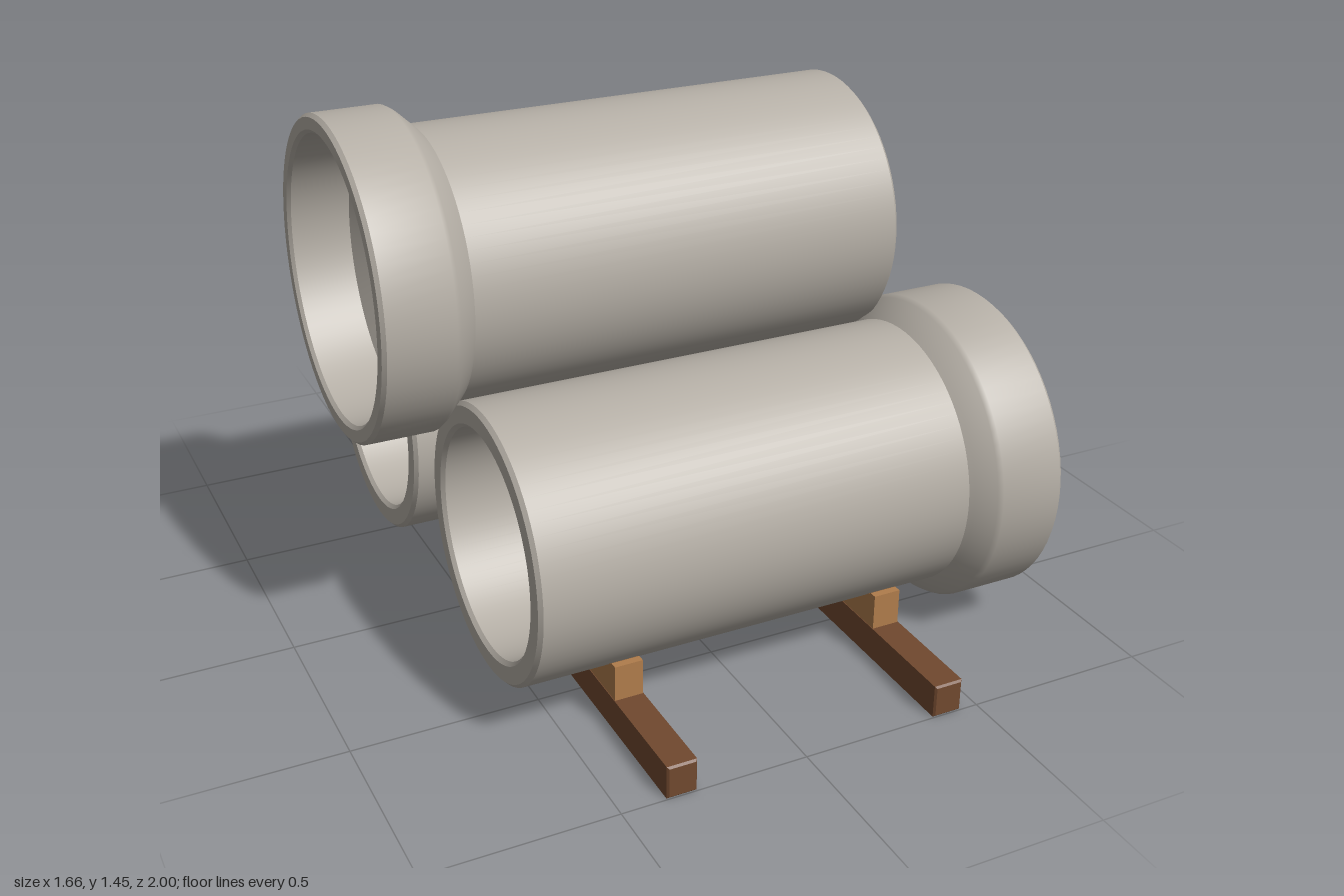
import * as THREE from 'three';
import { toCreasedNormals } from 'three/addons/utils/BufferGeometryUtils.js';

const mat = (name, color) => {
  const m = new THREE.MeshStandardMaterial({ color });
  m.name = name;
  return m;
};

// Closed wall section of a bell-ended pipe: [radius, distance along axis]
function pipeGeometry() {
  const section = [
    [0.295, -0.6], [0.305, -0.61], [0.35, -0.61], [0.36, -0.6],  // plain end
    [0.36, 0.58], [0.37, 0.59], [0.41, 0.632], [0.418, 0.645],   // flare
    [0.418, 0.82], [0.409, 0.83], [0.378, 0.83], [0.369, 0.821], // bell mouth
    [0.362, 0.665], [0.295, 0.635], [0.295, -0.6],               // socket and bore
  ].map(([r, a]) => new THREE.Vector2(r, a));
  return toCreasedNormals(new THREE.LatheGeometry(section, 72), 0.6);
}

// Bar with softened edges, extruded along z from a rectangle
function beamGeometry(w, h, len) {
  const b = 0.005, x = w / 2 - b, y = h / 2 - b;
  const s = new THREE.Shape([[-x, -y], [x, -y], [x, y], [-x, y]].map(p => new THREE.Vector2(...p)));
  const g = new THREE.ExtrudeGeometry(s, {
    depth: len - 2 * b, bevelSize: b, bevelThickness: b, bevelSegments: 1,
  });
  return g.translate(0, 0, -len / 2 + b);
}

// Triangular chock: upright outer face at +z, sloping down towards the pipe
function wedgeGeometry(w, h, len) {
  const s = new THREE.Shape();
  s.moveTo(0, 0);
  s.lineTo(len, 0);
  s.lineTo(len, h);
  s.lineTo(len - 0.02, h);
  s.closePath();
  const g = new THREE.ExtrudeGeometry(s, { depth: w, bevelEnabled: false });
  return g.translate(0, 0, -w / 2).rotateY(-Math.PI / 2);
}

export function createModel() {
  const model = new THREE.Group();
  model.name = 'pipeStack';
  const concrete = mat('concrete', 0xb5afa6);
  const darkWood = mat('darkWood', 0x71492f);
  const lightWood = mat('lightWood', 0xb07d4c);

  const add = (name, geometry, material, x, y, z) => {
    const mesh = new THREE.Mesh(geometry, material);
    mesh.name = name;
    mesh.position.set(x, y, z);
    model.add(mesh);
    return mesh;
  };

  // Two lower pipes with bells at +x, one upper pipe turned the other way
  const pipe = pipeGeometry();
  add('frontPipe', pipe, concrete, 0, 0.45, 0.435).rotation.z = -Math.PI / 2;
  add('backPipe', pipe, concrete, 0, 0.45, -0.435).rotation.z = -Math.PI / 2;
  add('topPipe', pipe, concrete, 0, 1.03, 0).rotation.z = Math.PI / 2;

  // Timber bearers, with a chock outside each lower pipe
  const beam = beamGeometry(0.08, 0.09, 2);
  const wedge = wedgeGeometry(0.076, 0.098, 0.17);
  for (const x of [-0.34, 0.41]) {
    add('bearer', beam, darkWood, x, 0.045, 0);
    add('frontChock', wedge, lightWood, x, 0.09, 0.535);
    add('backChock', wedge, lightWood, x, 0.09, -0.535).rotation.y = Math.PI;
  }
  return model;
}
